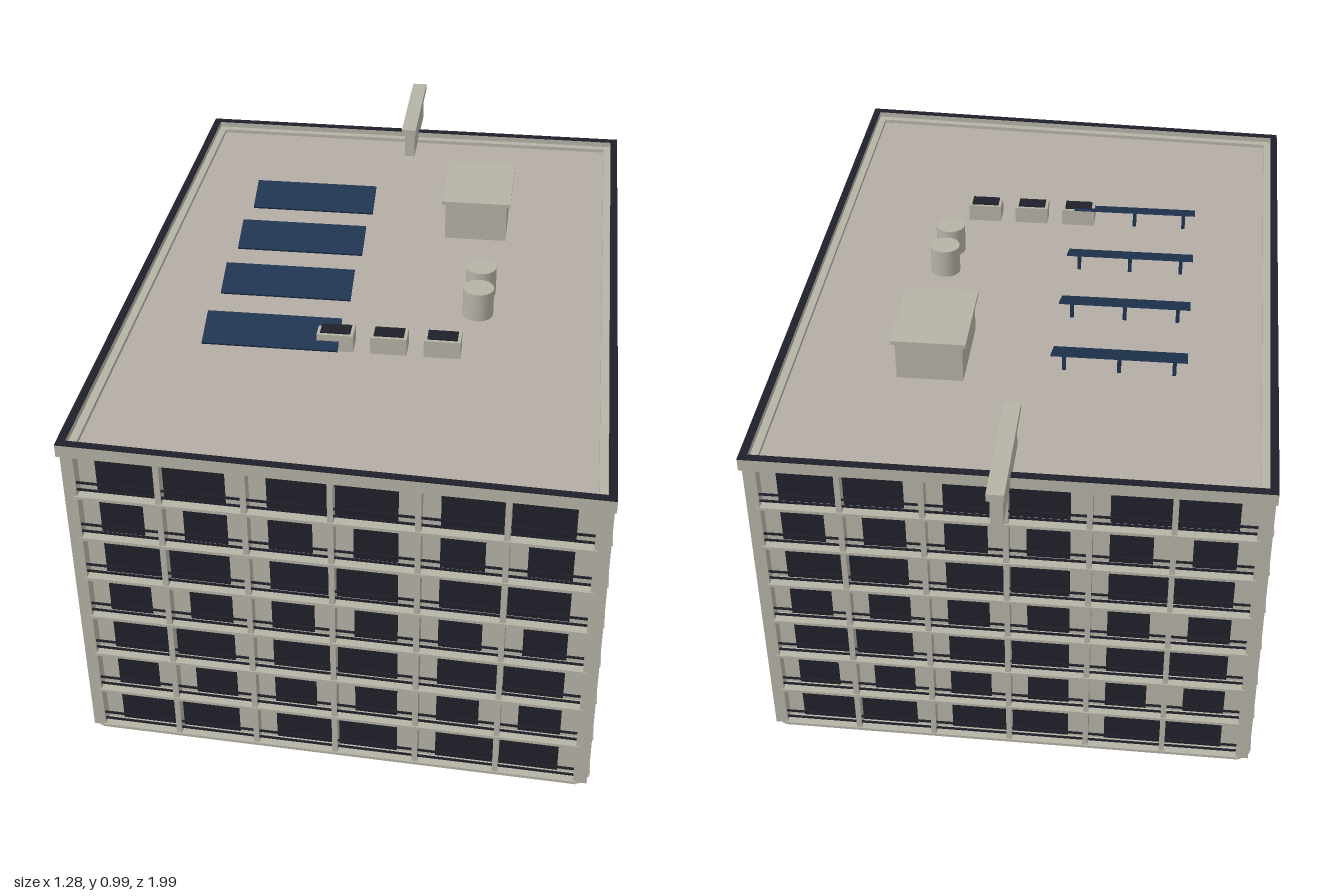
import * as THREE from 'three';
import { mergeGeometries } from 'three/addons/utils/BufferGeometryUtils.js';

const material = (name, color) => {
  const m = new THREE.MeshStandardMaterial({ color });
  m.name = name;
  return m;
};

// Outer corners [x, z], running left to right as each side is faced from outside
const CORNERS = [[-0.643, 0.932], [0.64, 0.993], [0.64, -0.832], [-0.622, -0.84]];
const FLOORS = 7, FLOOR_H = 0.1235, RECESS = 0.033, ROOF_Y = 0.868;

// Bay codes: 1/-1 wide window to the right/left, 2/-2 window plus side strip,
// 0.4/-0.4 slightly widened, 0 plain, 9 split pair
const SHORT_SIDE = [1, -1, 1, -1, 1, -1];
const LONG_SIDE = [2, -1, 0, -0.4, 9, 0.4, 0, 1, -2];

const box = (w, h, d, x, y, z) => new THREE.BoxGeometry(w, h, d).translate(x, y, z);

// Footprint moved inwards by d: each corner is where two shifted edges meet
function inset(d) {
  const n = CORNERS.length;
  const unit = (a, b) => {
    const x = b[0] - a[0], z = b[1] - a[1], l = Math.hypot(x, z);
    return [x / l, z / l];
  };
  return CORNERS.map((p, i) => {
    const u = unit(CORNERS[(i + n - 1) % n], p), v = unit(p, CORNERS[(i + 1) % n]);
    const k = d / Math.abs(u[0] * v[1] - u[1] * v[0]);
    return [p[0] + k * (v[0] - u[0]), p[1] + k * (v[1] - u[1])];
  });
}

// Footprint-shaped slab, optionally hollowed into a ring
function slab(outer, inner, y0, y1) {
  const points = d => inset(d).map(([x, z]) => new THREE.Vector2(x, -z));
  const shape = new THREE.Shape(points(outer));
  if (inner) shape.holes.push(new THREE.Path(points(inner)));
  return new THREE.ExtrudeGeometry(shape, { depth: y1 - y0, bevelEnabled: false })
    .rotateX(-Math.PI / 2).translate(0, y0, 0);
}

// Window spans [centre, width] across one bay
function windowSpans(code, wide, bay) {
  const w = 0.105;
  if (code === 9) return [[-0.029, 0.05], [0.03, 0.045]];
  if (!wide || code === 0) return [[0, w]];
  if (Math.abs(code) === 2) return [[0, w], [Math.sign(code) * (bay / 2 - 0.02), 0.024]];
  const extra = 0.045 * Math.abs(code);
  return [[Math.sign(code) * extra / 2, w + extra]];
}

function facade(name, p, q, bays, mats) {
  const group = new THREE.Group();
  group.name = name;
  const dx = q[0] - p[0], dz = q[1] - p[1], length = Math.hypot(dx, dz), bay = length / bays.length;
  group.position.set((p[0] + q[0]) / 2, 0, (p[1] + q[1]) / 2);
  group.rotation.y = Math.atan2(-dz, dx);
  const fins = [], ledges = [], windows = [], rails = [];

  // Vertical fins between bays
  for (let i = 0; i <= bays.length; i++)
    fins.push(box(0.014, 0.865, 0.03, -length / 2 + i * bay, 0.4325, 0.015));
  // Fin splitting the middle bay of a long side
  if (bays.includes(9)) fins.push(box(0.008, 0.865, 0.02, 0.001, 0.4325, 0.01));

  for (let f = 0; f < FLOORS; f++) {
    const y = f * FLOOR_H;
    // Balcony ledges and the two rails above them
    ledges.push(box(length, 0.008, 0.033, 0, y + 0.004, 0.0165));
    for (const h of [0.025, 0.045])
      rails.push(box(length, 0.005, 0.004, 0, y + h, 0.025));
    bays.forEach((code, i) => {
      const centre = -length / 2 + (i + 0.5) * bay;
      for (const [x, w] of windowSpans(code, f % 2 === 0, bay))
        windows.push(box(w, 0.092, 0.004, centre + x, y + 0.057, 0.001));
    });
  }
  const parts = [['fins', fins, mats.concrete], ['balconyLedges', ledges, mats.concrete],
    ['windows', windows, mats.glass], ['balconyRails', rails, mats.glass]];
  for (const [part, geos, mat] of parts) {
    const mesh = new THREE.Mesh(mergeGeometries(geos), mat);
    mesh.name = part;
    group.add(mesh);
  }
  return group;
}

export function createModel() {
  const model = new THREE.Group();
  model.name = 'apartmentBlock';
  const mats = {
    concrete: material('concrete', 0xb5b2a6),
    roof: material('roofing', 0xb3ada4),
    glass: material('darkGlass', 0x20202a),
    solar: material('solarBlue', 0x1f3350),
  };
  const add = (name, geo, mat, parent = model) => {
    const mesh = new THREE.Mesh(geo, mat);
    mesh.name = name;
    parent.add(mesh);
    return mesh;
  };

  // Body, roof and parapet
  add('body', slab(RECESS, 0, 0, 0.86), mats.concrete);
  add('roofSlab', slab(0.01, 0, 0.86, ROOF_Y - 0.002), mats.concrete);
  add('roofSurface', slab(0.018, 0, ROOF_Y - 0.003, ROOF_Y), mats.roof);
  add('parapet', slab(0, 0.02, 0.861, 0.893), mats.concrete);
  add('parapetCap', slab(0, 0.02, 0.893, 0.895), mats.glass);
  add('parapetLedge', slab(0.02, 0.04, 0.865, 0.878), mats.concrete);

  // Four facades, then the corner posts
  const wall = inset(RECESS);
  ['frontFacade', 'leftFacade', 'backFacade', 'rightFacade'].forEach((name, i) =>
    model.add(facade(name, wall[i], wall[(i + 1) % 4], i % 2 ? LONG_SIDE : SHORT_SIDE, mats)));
  inset(0.02).forEach(([x, z]) =>
    add('cornerPost', box(0.026, 0.862, 0.026, x, 0.431, z), mats.concrete));

  // Stair house with overhanging lid
  add('stairHouse', box(0.17, 0.11, 0.236, 0.245, 0.922, -0.315), mats.concrete);
  add('stairHouseLid', box(0.19, 0.01, 0.255, 0.245, 0.98, -0.317), mats.concrete);

  // Beam housing over the back edge
  add('beamHousing', box(0.03, 0.085, 0.29, 0.01, 0.915, -0.835), mats.concrete);
  add('beamHousingCap', box(0.042, 0.02, 0.345, 0.01, 0.965, -0.8275), mats.concrete);

  // Water tanks
  for (const z of [0.09, 0.2])
    add('waterTank', new THREE.CylinderGeometry(0.04, 0.04, 0.08, 24).translate(0.28, 0.906, z), mats.concrete);

  // Cooling units with dark grilles
  for (const x of [-0.065, 0.07, 0.205]) {
    add('coolingUnit', box(0.092, 0.048, 0.058, x, 0.891, 0.395), mats.concrete);
    add('coolingGrille', box(0.076, 0.004, 0.042, x, 0.916, 0.395), mats.glass);
  }

  // Tilted solar panels on legs
  for (const z of [-0.33, -0.088, 0.155, 0.403]) {
    const array = new THREE.Group();
    array.name = 'solarArray';
    array.position.set(-0.2275, 0, z);
    const panel = add('solarPanel', box(0.345, 0.006, 0.1, 0, 0, 0), mats.solar, array);
    panel.position.y = 0.903;
    panel.rotation.x = 0.4;
    for (const x of [-0.14, 0, 0.14])
      add('panelLeg', box(0.01, 0.045, 0.01, x, 0.888, -0.025), mats.solar, array);
    model.add(array);
  }
  return model;
}
